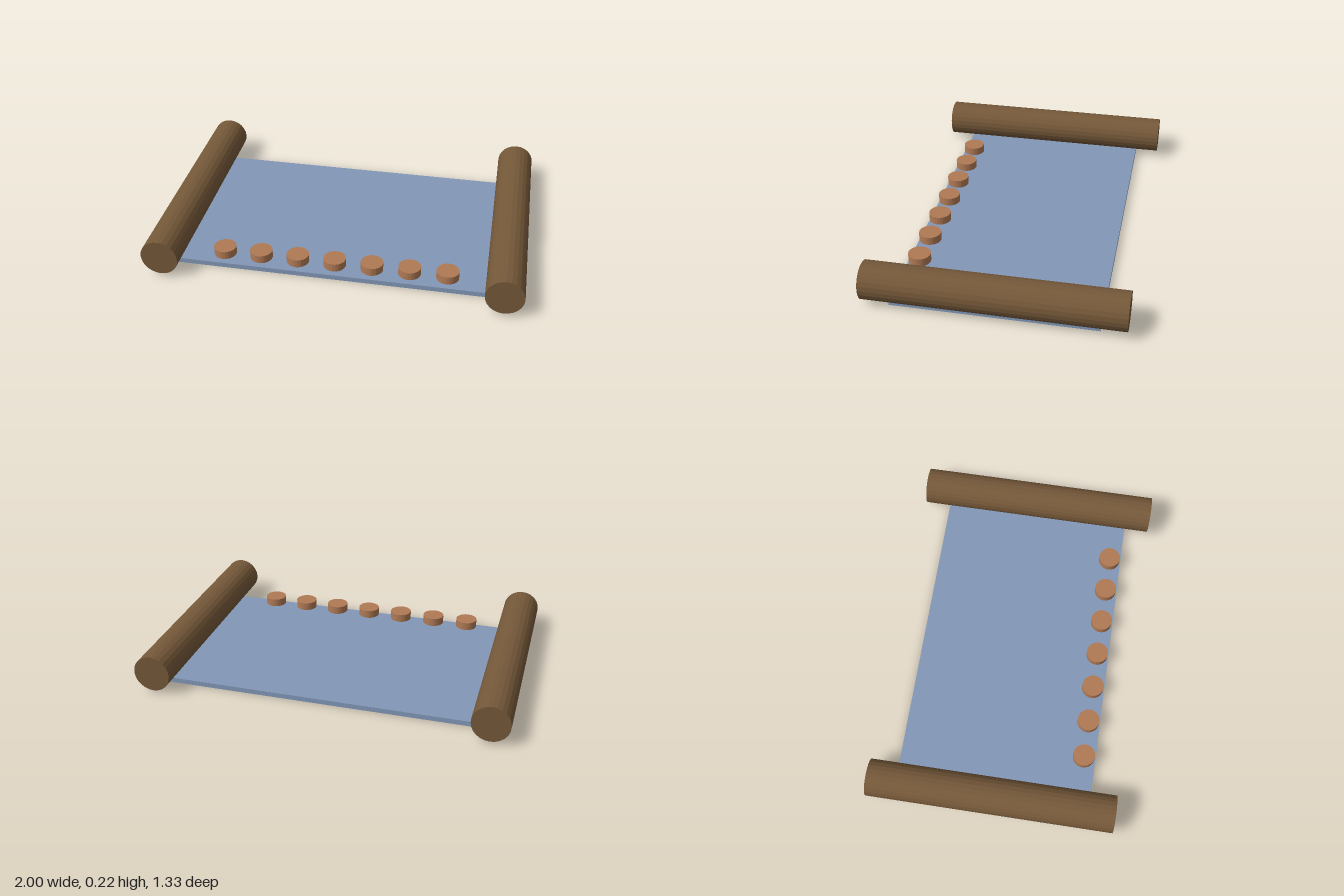
import * as THREE from 'three';

export function createModel() {
  const group = new THREE.Group();
  const slateBlue = new THREE.MeshStandardMaterial({ color: 0x8298b8 });
  const darkWood = new THREE.MeshStandardMaterial({ color: 0x755839 });
  const copper = new THREE.MeshStandardMaterial({ color: 0xb07a55 });
  for (const m of [darkWood, copper]) m.flatShading = true;

  const add = (name, geometry, material, x, y, z) => {
    const mesh = new THREE.Mesh(geometry, material);
    mesh.name = name;
    mesh.position.set(x, y, z);
    group.add(mesh);
    return mesh;
  };

  // Flat sheet on the ground
  add('sheet', new THREE.BoxGeometry(1.867, 0.027, 1.067), slateBlue, 0, 0.0135, 0);

  // Wooden rollers lying along both sides
  const rollerGeometry = new THREE.CylinderGeometry(0.1, 0.1, 1.333, 24).rotateX(Math.PI / 2);
  add('leftRoller', rollerGeometry, darkWood, 0.9, 0.117, 0);
  add('rightRoller', rollerGeometry, darkWood, -0.9, 0.117, 0);

  // Row of round discs hovering along the front edge
  const discGeometry = new THREE.CylinderGeometry(0.06, 0.06, 0.045, 24);
  for (let i = -3; i <= 3; i++) {
    add(`disc${i + 4}`, discGeometry, copper, i * 0.2, 0.071, 0.467);
  }

  return group;
}
